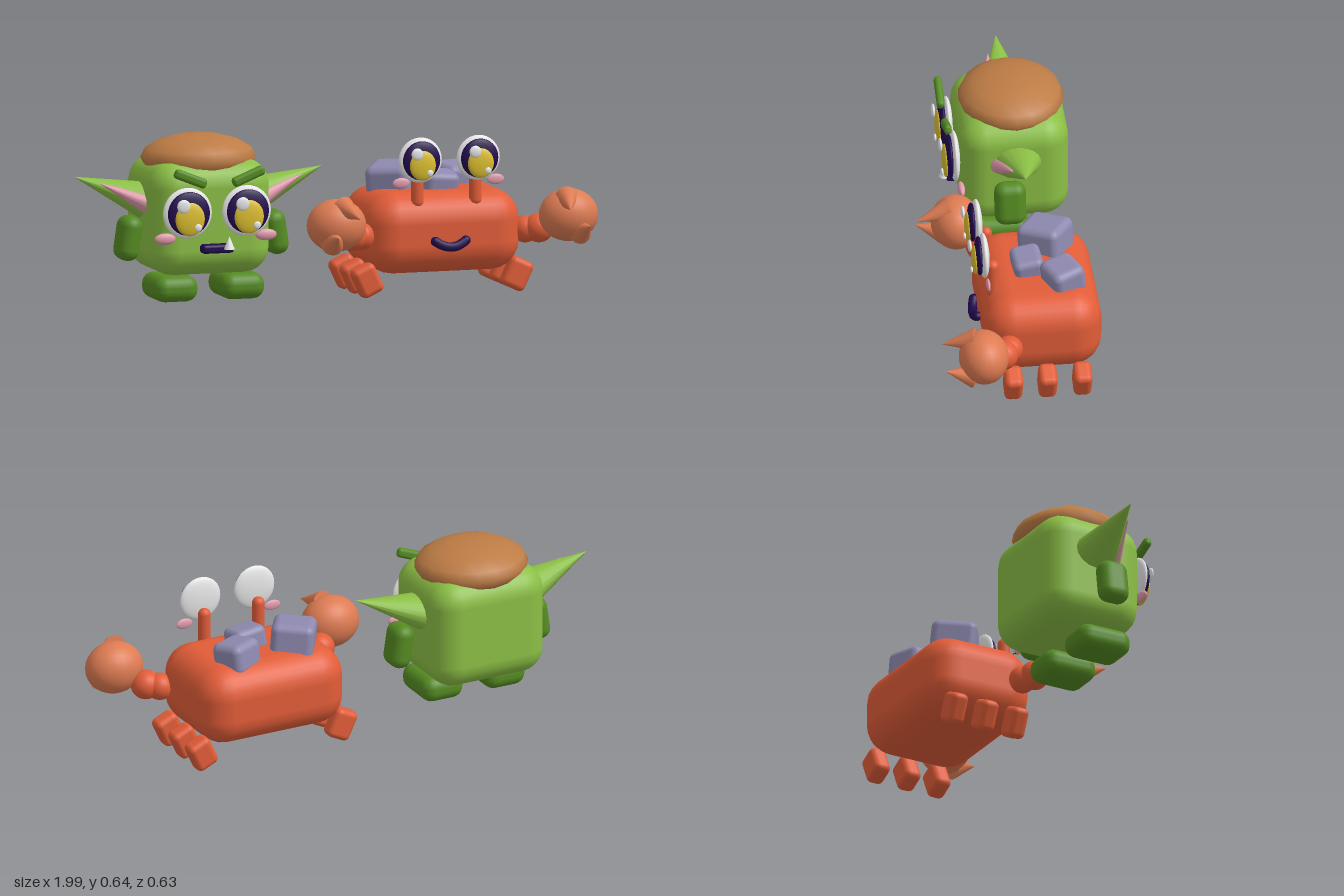
import * as THREE from 'three';
import { RoundedBoxGeometry } from 'three/addons/geometries/RoundedBoxGeometry.js';

const mat = (name, color) => {
  const m = new THREE.MeshStandardMaterial({ color });
  m.name = name;
  return m;
};

export function createModel() {
  const green = mat('leaf green', 0x8bbf45);
  const darkGreen = mat('dark green', 0x558b22);
  const brown = mat('cap brown', 0xbd7c45);
  const red = mat('crab red', 0xe25d38);
  const coral = mat('claw coral', 0xdd7b52);
  const stone = mat('stone lilac', 0x8f8ab0);
  const purple = mat('deep purple', 0x22094d);
  const yellow = mat('iris yellow', 0xdcbf30);
  const pink = mat('blush pink', 0xe29cae);
  const white = mat('eye white', 0xf0f0f0);

  const add = (parent, name, geometry, material, pos = [0, 0, 0], rot = [0, 0, 0]) => {
    const mesh = new THREE.Mesh(geometry, material);
    mesh.name = name;
    mesh.position.set(...pos);
    mesh.rotation.set(...rot);
    parent.add(mesh);
    return mesh;
  };
  const box = (parent, name, material, size, radius, pos, rot) =>
    add(parent, name, new RoundedBoxGeometry(...size, 3, radius), material, pos, rot);
  const ball = (parent, name, material, radii, pos, rot) => {
    const mesh = add(parent, name, new THREE.SphereGeometry(1, 24, 16), material, pos, rot);
    mesh.scale.set(...radii);
    return mesh;
  };
  // Cone from base to tip, optionally flattened across
  const spike = (parent, name, material, base, tip, radius, flat = 1) => {
    const a = new THREE.Vector3(...base);
    const d = new THREE.Vector3(...tip).sub(a);
    const mesh = add(parent, name, new THREE.ConeGeometry(radius, d.length(), 16), material);
    mesh.position.copy(a).addScaledVector(d, 0.5);
    mesh.quaternion.setFromUnitVectors(new THREE.Vector3(0, 1, 0), d.normalize());
    mesh.scale.x = flat;
    return mesh;
  };
  // Layered eye: white, pupil, iris and two highlights
  const eye = (parent, name, x, y, z, s) => {
    const g = new THREE.Group();
    g.name = name;
    g.position.set(x, y, z);
    parent.add(g);
    ball(g, 'eyeWhite', white, [s, s, 0.02], [0, 0, 0]);
    ball(g, 'pupil', purple, [s * 0.86, s * 0.86, 0.018], [0, 0, 0.018]);
    ball(g, 'iris', yellow, [s * 0.6, s * 0.66, 0.014], [0, -s * 0.2, 0.033]);
    ball(g, 'largeHighlight', white, [s * 0.27, s * 0.27, 0.008], [-s * 0.32, s * 0.34, 0.05]);
    ball(g, 'smallHighlight', white, [s * 0.15, s * 0.15, 0.006], [s * 0.28, -s * 0.52, 0.049]);
  };

  const model = new THREE.Group();
  model.name = 'goblinAndCrab';

  // Goblin, built around its own middle
  const goblin = new THREE.Group();
  goblin.name = 'goblin';
  goblin.position.x = -0.507;
  model.add(goblin);
  box(goblin, 'goblinBody', green, [0.475, 0.435, 0.415], 0.1, [0, 0.34, -0.1]);
  const cap = add(goblin, 'cap', new THREE.SphereGeometry(1, 20, 8), brown, [0, 0.552, -0.105]);
  cap.scale.set(0.22, 0.09, 0.2);
  for (const s of [-1, 1]) {
    const side = s > 0 ? 'left' : 'right';
    spike(goblin, side + 'Ear', green, [s * 0.177, 0.385, -0.105], [s * 0.493, 0.497, -0.105], 0.11, 0.72);
    spike(goblin, side + 'InnerEar', pink, [s * 0.2, 0.38, -0.05], [s * 0.405, 0.474, -0.066], 0.062, 0.7);
    box(goblin, side + 'Arm', darkGreen, [0.085, 0.17, 0.12], 0.04, [s * 0.29, 0.26, -0.07], [0, 0, s * 0.15]);
    box(goblin, side + 'Foot', darkGreen, [0.172, 0.1, 0.22], 0.045, [s * 0.132, 0.072, -0.045]);
    box(goblin, side + 'Brow', darkGreen, [0.135, 0.038, 0.03], 0.014, [s * 0.115, 0.507, 0.152], [0, 0, s * 0.38]);
    ball(goblin, side + 'Cheek', pink, [0.042, 0.022, 0.014], [s * 0.2, 0.275, 0.105]);
    eye(goblin, side + 'GoblinEye', s * 0.117, 0.372, 0.122, 0.097);
  }
  box(goblin, 'goblinMouth', purple, [0.125, 0.034, 0.05], 0.012, [0, 0.233, 0.12]);
  spike(goblin, 'fang', white, [0.04, 0.232, 0.15], [0.04, 0.282, 0.15], 0.021);

  // Crab, built around its own middle
  const crab = new THREE.Group();
  crab.name = 'crab';
  crab.position.x = 0.415;
  model.add(crab);
  box(crab, 'crabBody', red, [0.61, 0.31, 0.445], 0.115, [0, 0.245, -0.097]);
  for (const s of [-1, 1]) {
    const side = s > 0 ? 'left' : 'right';
    for (const z of [0.027, -0.103, -0.235])
      box(crab, side + 'Leg', red, [0.095, 0.118, 0.069], 0.022, [s * 0.297, 0.071, z], [0, 0, -s * 0.44]);
    // Eye on a stalk, with a blush beneath
    add(crab, side + 'Stalk', new THREE.CapsuleGeometry(0.024, 0.11, 6, 14), red, [s * 0.115, 0.425, 0.083]);
    eye(crab, side + 'CrabEye', s * 0.115, 0.532, 0.117, 0.086);
    ball(crab, side + 'CrabCheek', pink, [0.034, 0.02, 0.008], [s * 0.187, 0.446, 0.108]);
    // Arm and pincer
    ball(crab, side + 'UpperArm', red, [0.052, 0.052, 0.052], [s * 0.325, 0.242, 0.045]);
    ball(crab, side + 'Forearm', red, [0.058, 0.056, 0.056], [s * 0.37, 0.248, 0.072]);
    ball(crab, side + 'Claw', coral, [0.114, 0.1, 0.094], [s * 0.46, 0.305, 0.157]);
    spike(crab, side + 'UpperPincer', coral, [s * 0.443, 0.375, 0.185], [s * 0.416, 0.345, 0.315], 0.044);
    spike(crab, side + 'LowerPincer', coral, [s * 0.49, 0.243, 0.2], [s * 0.5, 0.277, 0.307], 0.046);
  }
  const smile = new THREE.QuadraticBezierCurve3(
    new THREE.Vector3(-0.06, 0.222, 0.135),
    new THREE.Vector3(0, 0.178, 0.155),
    new THREE.Vector3(0.06, 0.222, 0.135));
  add(crab, 'smile', new THREE.TubeGeometry(smile, 16, 0.018, 10), purple);
  for (const t of [0, 1])
    ball(crab, 'smileEnd', purple, [0.018, 0.018, 0.018], smile.getPoint(t).toArray());

  // Stones resting on the shell
  box(crab, 'largeStone', stone, [0.165, 0.14, 0.175], 0.03, [-0.143, 0.42, -0.147], [0.12, -0.56, 0.12]);
  box(crab, 'mediumStone', stone, [0.145, 0.12, 0.135], 0.03, [0.117, 0.415, -0.183], [0.15, 0.4, -0.08]);
  box(crab, 'smallStone', stone, [0.135, 0.11, 0.115], 0.026, [0.015, 0.41, -0.06], [0.14, 0.06, -0.1]);

  return model;
}
